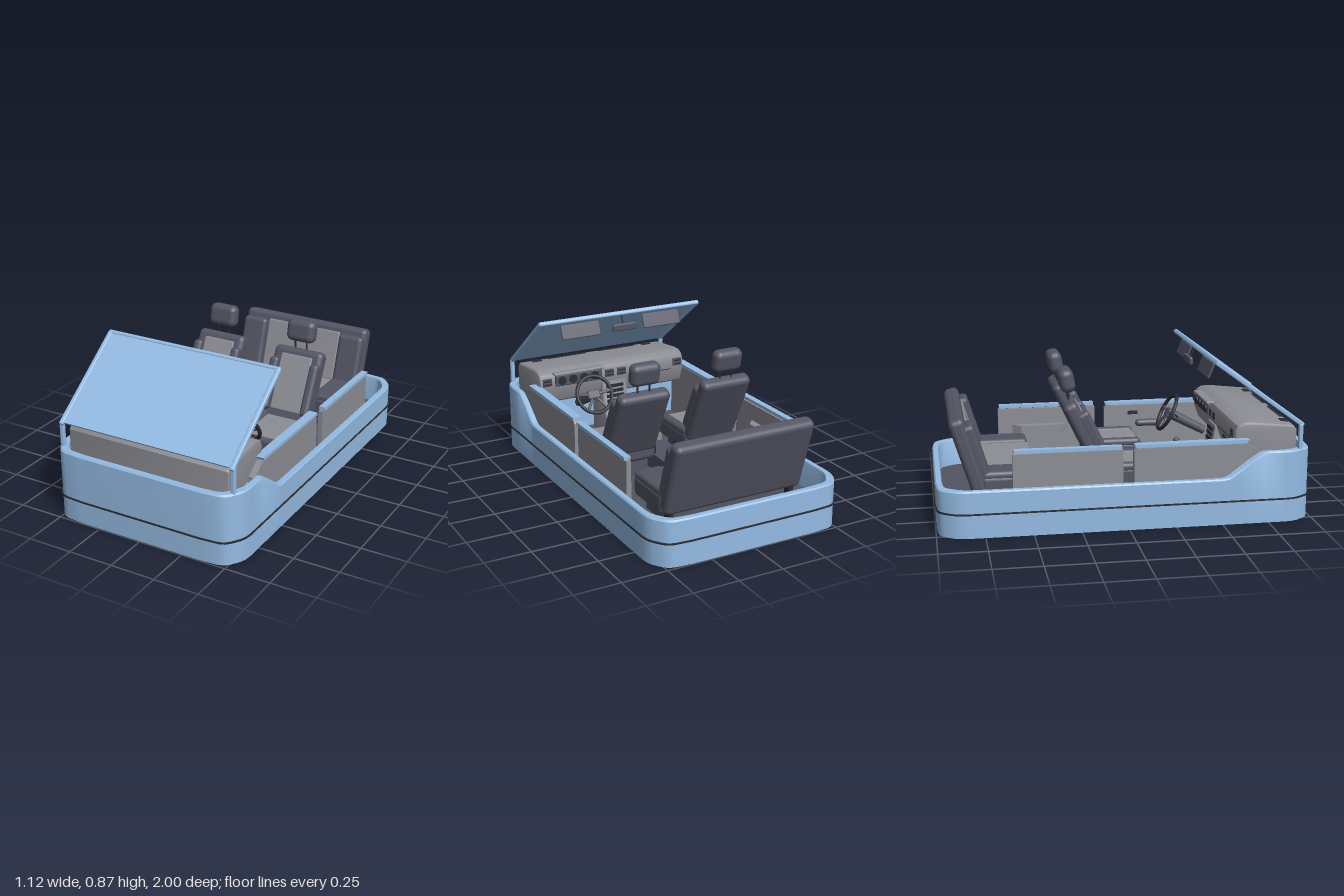
import * as THREE from 'three';
import { toCreasedNormals } from 'three/addons/utils/BufferGeometryUtils.js';
import { RoundedBoxGeometry } from 'three/addons/geometries/RoundedBoxGeometry.js';

const mat = (name, color) => {
  const m = new THREE.MeshStandardMaterial({ color });
  m.name = name;
  return m;
};

export function createModel() {
  const blue = mat('bodyBlue', 0x94bbe3);
  const grey = mat('trimGrey', 0x8d8e95);
  const dark = mat('seatSlate', 0x535564);
  const black = mat('black', 0x2b2c32);
  const root = new THREE.Group();
  root.name = 'openVehicle';

  const add = (name, geo, m, pos = [0, 0, 0], parent = root, rx = 0) => {
    const mesh = new THREE.Mesh(geo, m);
    mesh.name = name;
    mesh.position.set(...pos);
    mesh.rotation.x = rx;
    parent.add(mesh);
    return mesh;
  };
  const group = (name, pos, rx = 0, parent = root) => {
    const g = new THREE.Group();
    g.name = name;
    g.position.set(...pos);
    g.rotation.x = rx;
    parent.add(g);
    return g;
  };
  const box = (w, h, d) => new THREE.BoxGeometry(w, h, d);
  const soft = (w, h, d, r = 0.02) => new RoundedBoxGeometry(w, h, d, 3, r);
  const rod = (a, b, r) => new THREE.TubeGeometry(
    new THREE.LineCurve3(new THREE.Vector3(...a), new THREE.Vector3(...b)), 1, r, 8);
  const shapeOf = pts => new THREE.Shape(pts.map(p => new THREE.Vector2(...p)));
  // plan outline [x, z] raised from y0 by h
  const plan = (pts, y0, h) => toCreasedNormals(
    new THREE.ExtrudeGeometry(shapeOf(pts.map(([x, z]) => [x, -z])), { depth: h, bevelEnabled: false })
      .rotateX(-Math.PI / 2).translate(0, y0, 0), 0.6);
  // side profile [z, y] extruded across x, centred
  const profile = (pts, w, bevel = 0) => toCreasedNormals(
    new THREE.ExtrudeGeometry(shapeOf(pts), {
      depth: w - 2 * bevel, bevelEnabled: bevel > 0, bevelSize: bevel, bevelThickness: bevel,
      bevelOffset: -bevel, bevelSegments: 3,
    }).translate(0, 0, bevel - w / 2).rotateY(-Math.PI / 2), 0.6);

  // Tub outline: one quadrant [x, z, rim height at the front]
  const quad = [
    [0.36, 0.995, 0.39], [0.455, 0.987, 0.39], [0.485, 0.976, 0.39], [0.505, 0.956, 0.39], [0.535, 0.912, 0.39],
    [0.548, 0.88, 0.39], [0.553, 0.84, 0.39], [0.553, 0.745, 0.39], [0.553, 0.72, 0.382],
    [0.553, 0.66, 0.344], [0.553, 0.55, 0.265], [0.553, 0.53, 0.255], [0.553, 0.5, 0.25],
  ];
  const back = quad.map(([x, z]) => [x, -z, 0.25]).reverse();
  const rightSide = [...quad, ...back];
  const outline = [...rightSide, ...rightSide.map(([x, z, h]) => [-x, z, h]).reverse()];

  // Closed wall following the outline; section gives [inset, y] corners for a rim height
  function wall(section) {
    const pos = [], idx = [], n = outline.length;
    let m = 0;
    for (const [x, z, h] of outline) {
      const sec = section(h);
      m = sec.length;
      for (const [inset, y] of sec) pos.push(x * (1 - inset / 0.553), y, z * (1 - inset / 0.995));
    }
    for (let i = 0; i < n; i++) for (let j = 0; j < m; j++) {
      const a = i * m + j, b = i * m + (j + 1) % m;
      const c = ((i + 1) % n) * m + j, d = ((i + 1) % n) * m + (j + 1) % m;
      idx.push(a, c, b, b, c, d);
    }
    const g = new THREE.BufferGeometry();
    g.setAttribute('position', new THREE.Float32BufferAttribute(pos, 3));
    g.setIndex(idx);
    return toCreasedNormals(g, 0.6);
  }
  // section runs up the outside and down the inside
  add('tubWall', wall(h => [[0, 0], [0, h - 0.008], [0.006, h], [0.032, h], [0.036, h - 0.01], [0.036, 0]]), blue);
  add('beltTrim', wall(() => [[-0.006, 0.124], [-0.006, 0.132], [0.004, 0.132], [0.004, 0.124]]), black);
  const inner = outline.map(([x, z]) => [x * 0.94, z * 0.966]);
  add('underside', plan(inner, 0.006, 0.03), dark);
  add('floor', plan(inner, 0.036, 0.06), dark);
  add('firewall', box(1.02, 0.25, 0.02), blue, [0, 0.22, 0.74]);
  add('tunnel', plan([[-0.08, 0.14], [0.08, 0.14], [0.08, -0.36], [0, -0.43], [-0.08, -0.36]], 0.09, 0.1), dark);

  // Doors, rails and armrests
  for (const s of [-1, 1]) {
    add('frontDoor', profile([[0.03, 0.1], [0.72, 0.1], [0.72, 0.37], [0.64, 0.426], [0.045, 0.426], [0.03, 0.41]], 0.035),
      grey, [s * 0.492, 0, 0]);
    add('frontDoorRail', profile([[0.035, 0.432], [0.63, 0.432], [0.645, 0.45], [0.035, 0.447]], 0.05), blue, [s * 0.49, 0, 0]);
    add('rearDoor', box(0.026, 0.325, 0.575), grey, [s * 0.503, 0.262, -0.315]);
    add('rearDoorRail', box(0.036, 0.018, 0.56), blue, [s * 0.508, 0.44, -0.315]);
    add('frontArmrest', soft(0.045, 0.04, 0.16), dark, [s * 0.455, 0.32, 0.295]);
    add('rearArmrest', plan([[0.49, -0.52], [0.49, -0.19], [0.445, -0.24], [0.445, -0.47]].map(([x, z]) => [s * x, z]),
      0.28, 0.05), grey);
    add('doorHandle', box(0.012, 0.02, 0.06), black, [s * 0.472, 0.38, 0.2]);
    add('seatBeltBuckle', box(0.015, 0.06, 0.02), black, [s * 0.07, 0.21, -0.06]);
  }

  // Raked windscreen standing on short posts
  const screen = group('windscreen', [0, 0.52, 0.93], -0.936);
  add('pane', box(0.99, 0.575, 0.012), blue, [0, 0.288, 0.002], screen);
  add('topBar', soft(1.03, 0.022, 0.026, 0.009), blue, [0, 0.574, 0], screen);
  for (const s of [-1, 1]) {
    add('sideBar', soft(0.026, 0.59, 0.026, 0.008), blue, [s * 0.503, 0.284, 0], screen);
    add('post', soft(0.026, 0.15, 0.024, 0.008), blue, [s * 0.506, 0.45, 0.925]);
    add('sunVisor', soft(0.24, 0.085, 0.012, 0.005), dark, [s * 0.26, 0.795, 0.465], root, 0.38);
  }
  add('mirrorStalk', rod([0, 0.85, 0.46], [0, 0.795, 0.435], 0.006), black);
  add('mirror', soft(0.15, 0.042, 0.022, 0.008), dark, [0, 0.79, 0.428]);

  // Dashboard with fittings
  add('dashboard', profile([[0.915, 0.33], [0.915, 0.485], [0.895, 0.509], [0.67, 0.534], [0.62, 0.532], [0.59, 0.515],
    [0.577, 0.485], [0.577, 0.42], [0.605, 0.345], [0.63, 0.33]], 0.95, 0.012), grey);
  add('instrumentPanel', soft(0.3, 0.07, 0.02, 0.008), dark, [0.23, 0.475, 0.574]);
  add('instrumentHood', soft(0.32, 0.015, 0.05, 0.006), grey, [0.23, 0.516, 0.58]);
  for (const x of [0.13, 0.2, 0.27, 0.34])
    add('gauge', new THREE.CylinderGeometry(0.025, 0.025, 0.008, 20).rotateX(Math.PI / 2), black, [x, 0.475, 0.562]);
  for (const x of [-0.43, -0.05, 0.03, 0.43]) {
    add('airVent', box(0.055, 0.045, 0.012), dark, [x, 0.47, 0.574]);
    for (const y of [0.46, 0.48]) add('ventSlot', box(0.045, 0.008, 0.004), black, [x, y, 0.567]);
  }
  add('gloveBoxSeam', box(0.28, 0.003, 0.006), black, [-0.25, 0.43, 0.576]);
  add('gloveBoxLatch', box(0.04, 0.012, 0.01), black, [-0.25, 0.405, 0.578]);
  for (const s of [-1, 1]) {
    add('defroster', box(0.25, 0.006, 0.02), black, [s * 0.165, 0.509, 0.885]);
    add('speaker', box(0.055, 0.008, 0.04), black, [s * 0.37, 0.513, 0.87]);
  }

  // Centre stack and console
  add('centreStack', profile([[0.46, 0.09], [0.7, 0.09], [0.7, 0.42], [0.57, 0.42], [0.55, 0.28]], 0.16, 0.006), grey);
  for (let i = 0; i < 4; i++)
    add('stackControl', box(0.11, 0.018, 0.012), black, [0, 0.39 - i * 0.03, 0.564 - i * 0.004]);
  add('console', profile([[0.1, 0.09], [0.5, 0.09], [0.5, 0.19], [0.36, 0.19], [0.33, 0.23], [0.1, 0.23]], 0.145, 0.008), grey);
  add('shifterPlate', box(0.15, 0.008, 0.09), dark, [0, 0.195, 0.4]);
  add('shifterBoot', new THREE.CylinderGeometry(0.02, 0.048, 0.07, 16), dark, [0, 0.232, 0.4]);
  for (const x of [-0.025, 0.025]) {
    add('shifterLever', rod([x * 0.5, 0.25, 0.4], [x, 0.31, 0.375], 0.006), black);
    add('shifterKnob', new THREE.SphereGeometry(0.021, 14, 10), dark, [x, 0.315, 0.373]);
  }

  // Steering wheel: local +z points at the dashboard
  const wheel = group('steeringWheel', [0.23, 0.435, 0.36], 0.49);
  add('rim', new THREE.TorusGeometry(0.108, 0.011, 8, 32), black, [0, 0, 0], wheel);
  add('hub', soft(0.08, 0.055, 0.03, 0.012), dark, [0, 0, 0.012], wheel);
  for (const [x, y] of [[-0.105, 0.01], [0.105, 0.01], [-0.06, -0.088], [0.06, -0.088]])
    add('spoke', rod([0, 0, 0.012], [x, y, 0], 0.009), dark, [0, 0, 0], wheel);
  add('column', new THREE.CylinderGeometry(0.025, 0.03, 0.24, 14).rotateX(Math.PI / 2), dark, [0, 0, 0.13], wheel);
  add('stalks', rod([-0.11, 0.01, 0.045], [0.11, 0.01, 0.045], 0.005), black, [0, 0, 0], wheel);

  // Front seats
  for (const s of [-1, 1]) {
    const seat = group('frontSeat', [s * 0.25, 0, 0]);
    add('base', box(0.24, 0.12, 0.24), dark, [0, 0.15, 0.02], seat);
    add('cushion', soft(0.31, 0.11, 0.33, 0.03), dark, [0, 0.245, 0.03], seat);
    add('cushionInsert', soft(0.2, 0.02, 0.26, 0.008), grey, [0, 0.298, 0.045], seat);
    const rest = group('backrest', [0, 0.27, -0.1], -0.45, seat);
    add('back', soft(0.3, 0.425, 0.08, 0.03), dark, [0, 0.21, -0.01], rest);
    add('backInsert', soft(0.19, 0.32, 0.02, 0.008), grey, [0, 0.22, 0.028], rest);
    for (const e of [-1, 1]) {
      add('cushionBolster', soft(0.055, 0.05, 0.3, 0.022), dark, [e * 0.128, 0.295, 0.03], seat);
      add('backBolster', soft(0.055, 0.3, 0.07, 0.022), dark, [e * 0.123, 0.2, 0.03], rest);
      add('headrestPost', rod([e * 0.035, 0.41, -0.005], [e * 0.035, 0.48, 0.03], 0.005), black, [0, 0, 0], rest);
    }
    add('headrest', soft(0.17, 0.125, 0.08, 0.035), dark, [0, 0.52, 0.037], rest, 0.25);
  }

  // Rear bench
  const bench = group('rearBench', [0, 0, 0]);
  add('benchBase', box(0.7, 0.1, 0.24), dark, [0, 0.14, -0.62], bench);
  add('benchCushion', soft(0.81, 0.12, 0.31, 0.03), dark, [0, 0.225, -0.605], bench);
  add('benchInsert', soft(0.48, 0.02, 0.27, 0.008), grey, [0, 0.28, -0.59], bench);
  const rest = group('benchBackrest', [0, 0.19, -0.745], -0.3, bench);
  add('benchBack', soft(0.81, 0.42, 0.085, 0.03), dark, [0, 0.21, -0.015], rest);
  add('benchBackInsert', soft(0.48, 0.32, 0.02, 0.008), grey, [0, 0.215, 0.026], rest);
  for (const e of [-1, 1]) {
    add('benchBackBolster', soft(0.155, 0.34, 0.07, 0.025), dark, [e * 0.322, 0.2, 0.03], rest);
    add('benchCushionBolster', soft(0.16, 0.05, 0.3, 0.022), dark, [e * 0.322, 0.28, -0.605], bench);
    add('benchLeg', box(0.03, 0.12, 0.04), black, [e * 0.36, 0.15, -0.76], bench);
  }
  return root;
}
